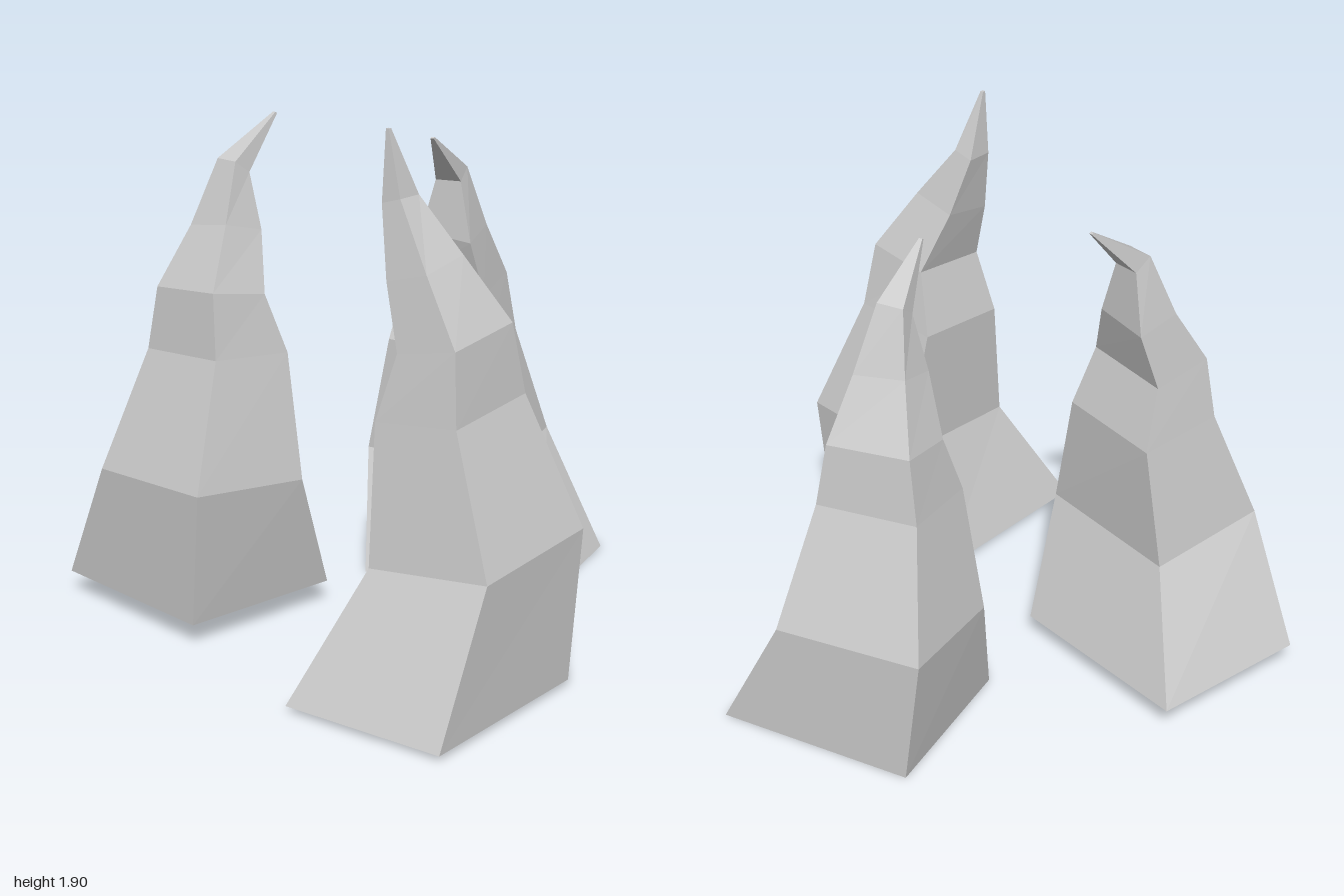
import * as THREE from 'three';

// Cross-sections of a spike: [xLeft, xRight, zBack, zFront, height, rise of front side]
const rings = [
  [-0.37, 0.37, -0.315, 0.315, 0, 0],
  [-0.13, 0.43, -0.15, 0.326, 0.42, 0.045],
  [-0.06, 0.33, -0.175, 0.152, 0.87, 0.03],
  [-0.03, 0.29, -0.107, 0.125, 1.09, 0.04],
  [0, 0.2, -0.172, -0.01, 1.3, 0.04],
  [0.04, 0.14, -0.171, -0.108, 1.53, 0.045],
  [0.072, 0.085, -0.35, -0.342, 1.715, 0.005],
];

// Same body, with a straighter and taller tip
const uprightRings = [
  ...rings.slice(0, 5),
  [0.04, 0.14, -0.22, -0.145, 1.53, 0.02],
  [0.05, 0.062, -0.21, -0.198, 1.757, 0],
];

// Joins four-cornered sections into a closed, faceted spike
function spikeGeometry(sections) {
  const points = [];
  const index = [];
  const quad = (a, b, c, d) => index.push(a, b, c, a, c, d);
  sections.forEach(([l, r, back, front, y, rise], k) => {
    // the right side of the lower sections sits a little higher
    const skew = k > 0 && k < 5 ? 0.03 : 0;
    points.push(l, y + rise, front, r, y + rise + skew, front);
    points.push(r, y + skew, back, l, y, back);
  });
  for (let k = 0; k < sections.length - 1; k++) {
    for (let i = 0; i < 4; i++) {
      const a = k * 4 + i;
      const b = k * 4 + ((i + 1) % 4);
      quad(a, b, b + 4, a + 4);
    }
  }
  const top = (sections.length - 1) * 4;
  quad(0, 3, 2, 1);
  quad(top, top + 1, top + 2, top + 3);
  const indexed = new THREE.BufferGeometry();
  indexed.setAttribute('position', new THREE.Float32BufferAttribute(points, 3));
  indexed.setIndex(index);
  const geometry = indexed.toNonIndexed();
  geometry.computeVertexNormals();
  return geometry;
}

export function createModel() {
  const group = new THREE.Group();
  group.name = 'rockSpikes';
  const material = new THREE.MeshStandardMaterial({ color: 0xcccccc, flatShading: true });

  const addSpike = (name, sections, position, turn, stretch = 1) => {
    const spike = new THREE.Mesh(spikeGeometry(sections), material);
    spike.name = name;
    spike.position.set(...position);
    spike.rotation.y = turn;
    spike.scale.y = stretch;
    group.add(spike);
  };

  addSpike('rightSpike', rings, [-0.63, 0.08, 0.525], 0);
  addSpike('backSpike', rings, [-0.167, 0, -0.53], -2.74);
  addSpike('leftSpike', uprightRings, [0.63, 0.02, 0.54], 1.74, 1.07);

  return group;
}
